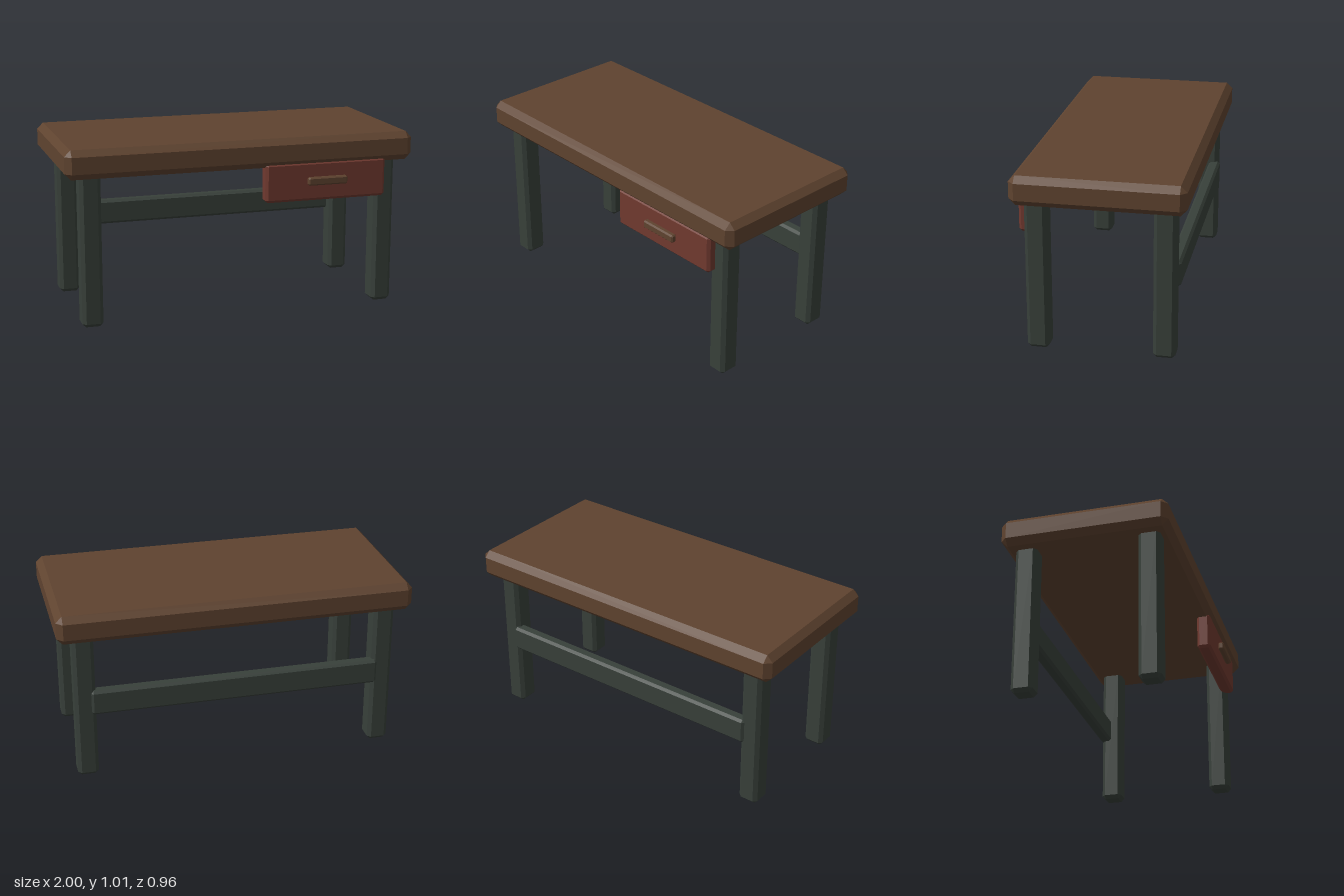
import * as THREE from 'three';
import { ConvexGeometry } from 'three/addons/geometries/ConvexGeometry.js';

const paint = (name, color) => {
  const m = new THREE.MeshStandardMaterial({ color });
  m.name = name;
  return m;
};

// Box between two corners, with every edge cut back by a flat chamfer c
function chamferBox(name, material, [x0, x1], [y0, y1], [z0, z1], c) {
  const half = [(x1 - x0) / 2, (y1 - y0) / 2, (z1 - z0) / 2];
  const points = [];
  for (const sx of [-1, 1]) for (const sy of [-1, 1]) for (const sz of [-1, 1]) {
    for (let axis = 0; axis < 3; axis++) {
      const h = half.map((v, i) => (i === axis ? v : v - c));
      points.push(new THREE.Vector3(sx * h[0], sy * h[1], sz * h[2]));
    }
  }
  const mesh = new THREE.Mesh(new ConvexGeometry(points), material);
  mesh.name = name;
  mesh.position.set((x0 + x1) / 2, (y0 + y1) / 2, (z0 + z1) / 2);
  return mesh;
}

export function createModel() {
  const wood = paint('brown wood', 0x5f432f);
  const frame = paint('dark green frame', 0x38403a);
  const red = paint('dull red', 0x70392f);

  const desk = new THREE.Group();
  desk.name = 'desk';

  // Thick tabletop
  desk.add(chamferBox('tabletop', wood, [-1, 1], [0.845, 1.008], [-0.477, 0.459], 0.035));

  // Four legs, running up into the tabletop
  for (const [side, x] of [['left', 0.856], ['right', -0.856]]) {
    for (const [end, z] of [['Front', 0.336], ['Back', -0.354]]) {
      desk.add(chamferBox(`${side}${end}Leg`, frame,
        [x - 0.059, x + 0.059], [0, 0.87], [z - 0.061, z + 0.061], 0.02));
    }
  }

  // Rail joining the back legs
  desk.add(chamferBox('backRail', frame, [-0.825, 0.825], [0.386, 0.53], [-0.428, -0.358], 0.014));

  // Drawer front and its handle
  const drawer = new THREE.Group();
  drawer.name = 'drawer';
  drawer.add(chamferBox('drawerFront', red, [0.123, 0.838], [0.644, 0.867], [0.365, 0.445], 0.015));
  drawer.add(chamferBox('drawerHandle', wood, [0.365, 0.596], [0.737, 0.783], [0.445, 0.479], 0.008));
  desk.add(drawer);

  return desk;
}
